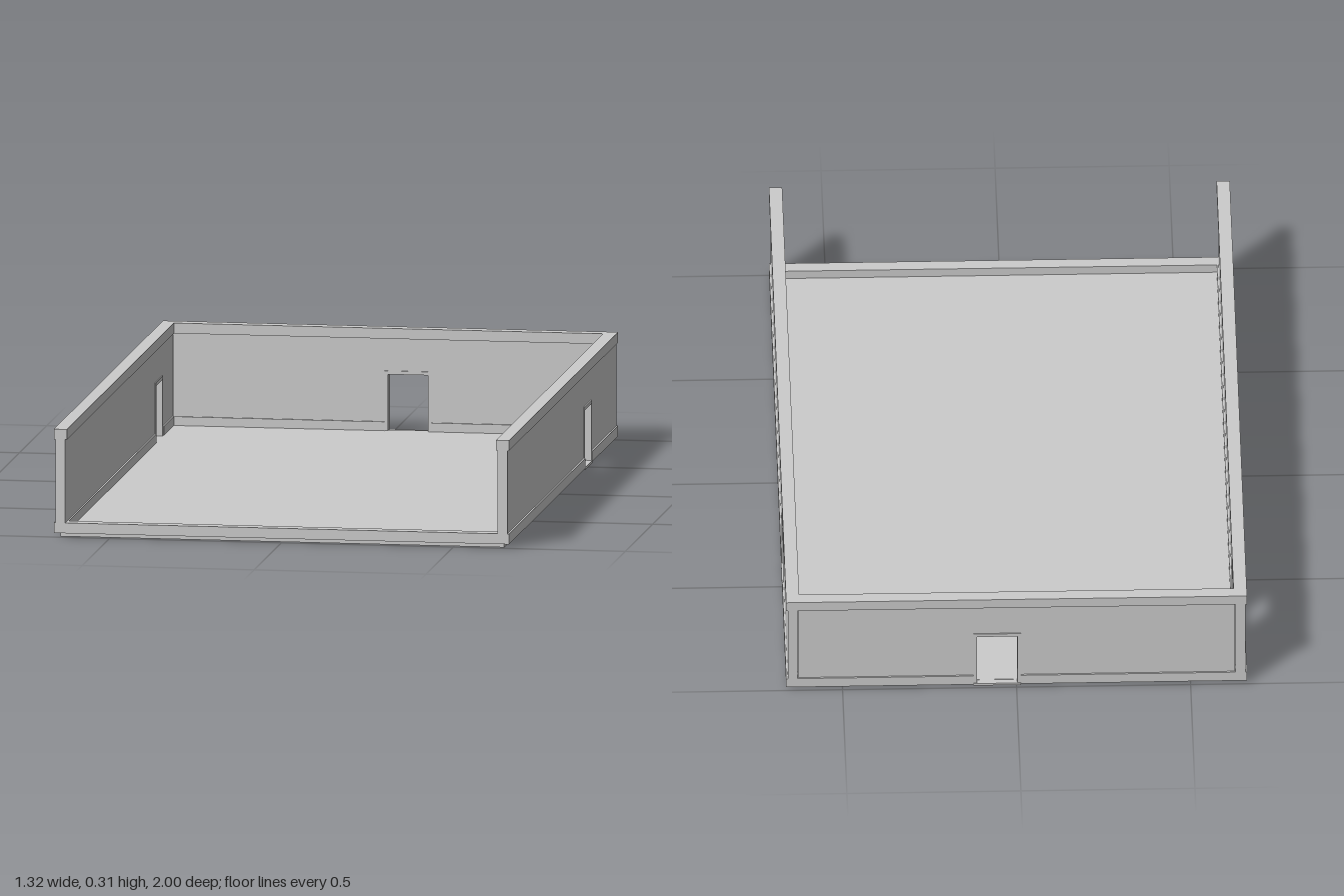
import * as THREE from 'three';

const material = new THREE.MeshStandardMaterial({ color: 0xcccccc, flatShading: true });

const BASE = 0.012;      // underside of the walls
const TOP = 0.314;       // top of the walls
const TRIM_H = 0.03;     // height of skirting and cap
const TRIM_D = 0.038;    // depth of skirting and cap
const WALL_D = 0.028;
const DOOR_W = 0.116;
const DOOR_TOP = 0.18;
const FRAME = 0.01;

// Box given by its x, y and z ranges
function box(name, x0, x1, y0, y1, z0, z1) {
  const geometry = new THREE.BoxGeometry(x1 - x0, y1 - y0, z1 - z0);
  geometry.translate((x0 + x1) / 2, (y0 + y1) / 2, (z0 + z1) / 2);
  const mesh = new THREE.Mesh(geometry, material);
  mesh.name = name;
  return mesh;
}

// Shape of an upright panel with a doorway cut up from its lower edge
function archShape(x0, x1, y1, doorLeft, doorRight, doorTop) {
  const points = [
    [x0, BASE], [doorLeft, BASE], [doorLeft, doorTop], [doorRight, doorTop],
    [doorRight, BASE], [x1, BASE], [x1, y1], [x0, y1],
  ];
  return new THREE.Shape(points.map(([x, y]) => new THREE.Vector2(x, y)));
}

function panel(name, shape, depth) {
  const geometry = new THREE.ExtrudeGeometry(shape, { depth, bevelEnabled: false });
  geometry.translate(0, 0, -depth / 2);
  const mesh = new THREE.Mesh(geometry, material);
  mesh.name = name;
  return mesh;
}

// Wall along local x, with its outside facing local +z
function makeWall(name, halfLength, doorX) {
  const wall = new THREE.Group();
  wall.name = name;
  const d = TRIM_D / 2;
  const left = doorX - DOOR_W / 2, right = doorX + DOOR_W / 2;
  const outerLeft = left - FRAME, outerRight = right + FRAME;
  const frameTop = DOOR_TOP + FRAME;

  wall.add(panel('wallPanel',
    archShape(-halfLength, halfLength, TOP - 0.005, left, right, DOOR_TOP), WALL_D));
  wall.add(panel('doorFrame',
    archShape(outerLeft, outerRight, frameTop, left, right, DOOR_TOP), WALL_D + 0.006));
  wall.add(box('cap', -halfLength, halfLength, TOP - TRIM_H, TOP, -d, d));
  // Skirting stops on either side of the doorway
  wall.add(box('skirting', -halfLength, outerLeft, BASE, BASE + TRIM_H, -d, d));
  wall.add(box('skirting', outerRight, halfLength, BASE, BASE + TRIM_H, -d, d));
  // Sill closing the floor under the doorway
  wall.add(box('doorSill', outerLeft, outerRight, BASE - 0.004, BASE + 0.003, -d, d));
  return wall;
}

export function createModel() {
  const model = new THREE.Group();
  model.name = 'room';

  // Floor slab, slightly inset below the walls
  model.add(box('floor', -0.645, 0.645, 0, 0.016, -0.982, 0.982));

  // Side walls, each with its own doorway position
  const leftWall = makeWall('leftWall', 1, 0.465);
  leftWall.rotation.y = Math.PI / 2;
  leftWall.position.x = 0.643;

  const rightWall = makeWall('rightWall', 1, -0.71);
  rightWall.rotation.y = -Math.PI / 2;
  rightWall.position.x = -0.643;

  // Back wall fits between the side walls
  const backWall = makeWall('backWall', 0.628, -0.056);
  backWall.rotation.y = Math.PI;
  backWall.position.z = -0.981;

  // Low curb across the open front
  const curb = box('frontCurb', -0.625, 0.625, BASE, BASE + TRIM_H, 0.962, 1);

  model.add(leftWall, rightWall, backWall, curb);
  return model;
}
